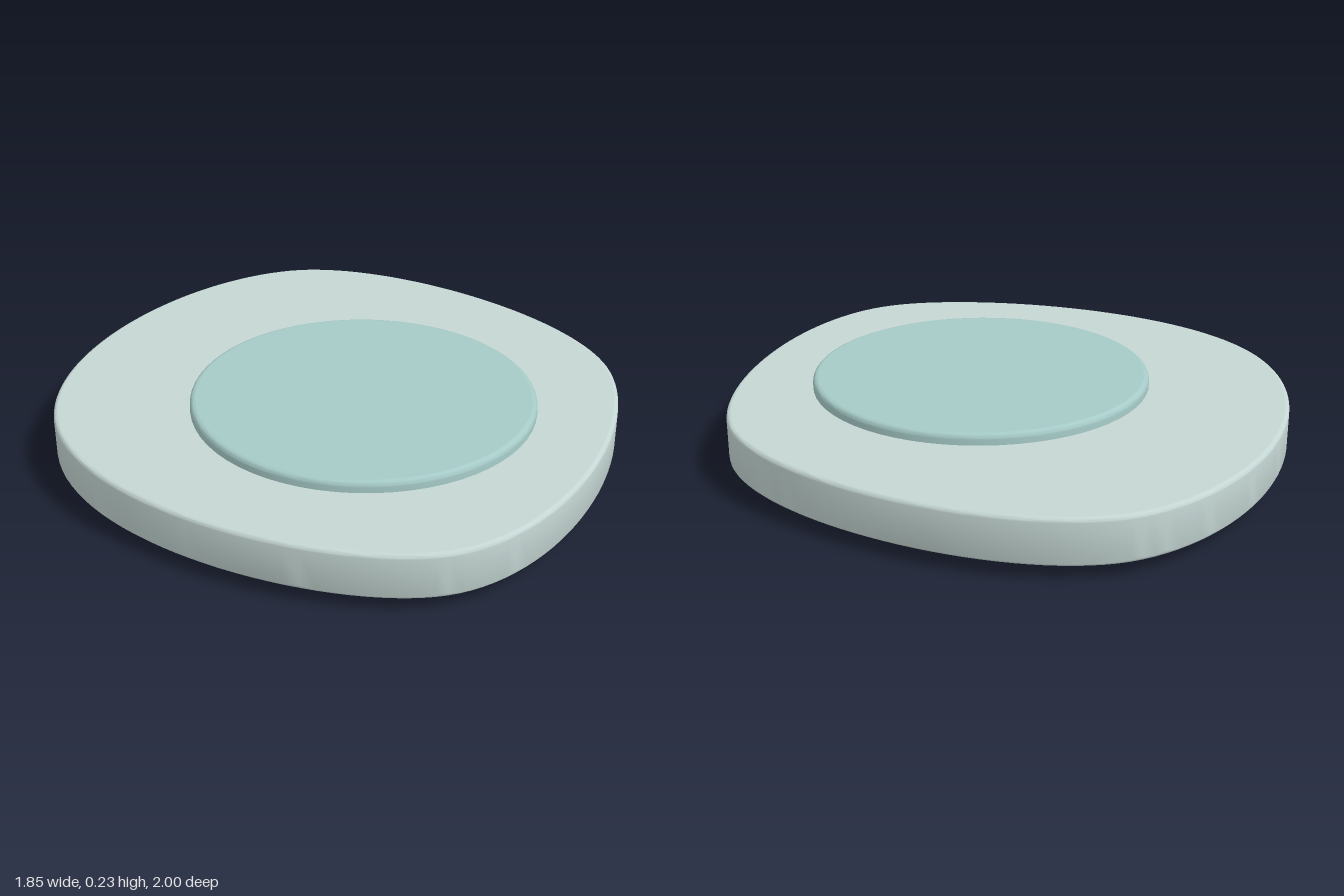
import * as THREE from 'three';
import { toCreasedNormals } from 'three/addons/utils/BufferGeometryUtils.js';

// Flat slab with rounded rims; shape coordinates are (x, z)
function slab(name, shape, bottom, top, rim, color) {
  const extruded = new THREE.ExtrudeGeometry(shape, {
    depth: top - bottom - 2 * rim,
    bevelThickness: rim, bevelSize: rim, bevelOffset: -rim, bevelSegments: 5,
    curveSegments: 32,
  });
  extruded.rotateX(Math.PI / 2);
  extruded.translate(0, top - rim, 0);

  // Smooth rim and wall, but keep the two large faces perfectly flat
  const geometry = toCreasedNormals(extruded, 0.6);
  const { position, normal } = geometry.attributes;
  const caps = geometry.groups[0];
  for (let i = caps.start; i < caps.start + caps.count; i++) {
    normal.setXYZ(i, 0, position.getY(i) > (top + bottom) / 2 ? 1 : -1, 0);
  }

  const mesh = new THREE.Mesh(geometry, new THREE.MeshStandardMaterial({ color }));
  mesh.name = name;
  return mesh;
}

export function createModel() {
  const group = new THREE.Group();
  group.name = 'pebbleWithDisc';

  // Lopsided pebble outline, from the back round by the left side
  const outline = new THREE.Shape();
  outline.moveTo(0.04, -1);
  outline.bezierCurveTo(0.42, -1, 0.925, -0.4, 0.925, 0.02);
  outline.bezierCurveTo(0.925, 0.39, 0.45, 1, 0.07, 1);
  outline.bezierCurveTo(-0.29, 1, -0.925, 0.51, -0.925, -0.01);
  outline.bezierCurveTo(-0.925, -0.5, -0.38, -1, 0.04, -1);
  group.add(slab('pebbleBody', outline, 0.043, 0.19, 0.014, 0xc4d6d3));

  // Round disc passing through the body, proud on both faces
  const circle = new THREE.Shape();
  circle.absarc(0.055, 0.11, 0.558, 0, Math.PI * 2);
  group.add(slab('centreDisc', circle, 0, 0.226, 0.018, 0xa5cac7));

  return group;
}
